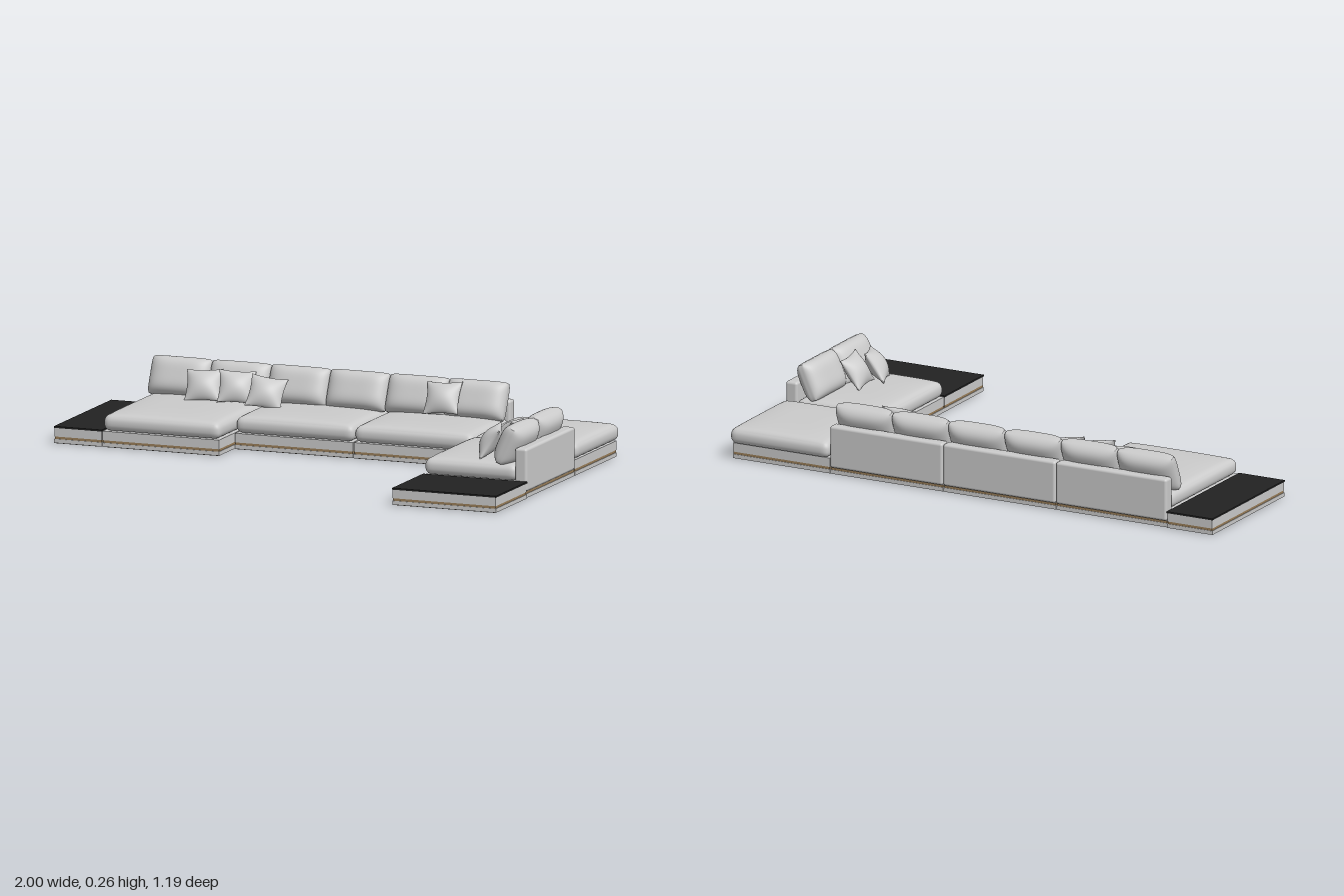
import * as THREE from 'three';
import { mergeVertices } from 'three/addons/utils/BufferGeometryUtils.js';
import { RoundedBoxGeometry } from 'three/addons/geometries/RoundedBoxGeometry.js';

const fabric = new THREE.MeshStandardMaterial({ color: 0xcccccc });
const black = new THREE.MeshStandardMaterial({ color: 0x222222 });
const brass = new THREE.MeshStandardMaterial({ color: 0x9a7f5a });
const brown = new THREE.MeshStandardMaterial({ color: 0x6b5c45 });

// Moves every vertex of a finely divided 2x2x2 box by a rule and smooths the result
function shapeBox(nx, ny, nz, rule) {
  let geo = new THREE.BoxGeometry(2, 2, 2, nx, ny, nz);
  geo.deleteAttribute('uv');
  geo.deleteAttribute('normal');
  geo = mergeVertices(geo);
  const p = geo.attributes.position;
  const v = new THREE.Vector3();
  for (let i = 0; i < p.count; i++) {
    rule(v.fromBufferAttribute(p, i));
    p.setXYZ(i, v.x, v.y, v.z);
  }
  geo.computeVertexNormals();
  return geo;
}

// Flat seat pad: rounded rim with a gentle crown
function seatGeometry(w, h, d, r = 0.026, crown = 0.012) {
  const half = new THREE.Vector3(w / 2, h / 2, d / 2);
  const inner = half.clone().subScalar(r);
  const core = new THREE.Vector3();
  const ease = (t) => Math.sin(t * Math.PI / 2);
  return shapeBox(28, 8, 28, (v) => {
    v.set(ease(v.x), v.y, ease(v.z));
    const dome = (1 - v.x ** 4) * (1 - v.z ** 4);
    const up = v.y;
    v.multiply(half);
    core.copy(v).clamp(inner.clone().negate(), inner);
    v.sub(core).setLength(r).add(core);
    if (up > 0) v.y += crown * dome * up;
  });
}

// Stuffed cushion: thick belly, thin seam, corners drawn out by the pinch
function cushionGeometry(w, h, t, { pinch = 0, seam = 0.1, power = 2, fullness = 0.5, round = 0 }) {
  return shapeBox(24, 24, 4, (v) => {
    const u = Math.sin(v.x * Math.PI / 2), s = Math.sin(v.y * Math.PI / 2);
    const belly = Math.pow(Math.max(0, (1 - Math.abs(u) ** power) * (1 - Math.abs(s) ** power)), fullness);
    const x = u * (1 - pinch * (1 - s * s)) * (1 - round * s ** 8);
    const y = s * (1 - pinch * (1 - u * u)) * (1 - round * u ** 8);
    v.set(x * w / 2, y * h / 2, v.z * (seam + (1 - seam) * belly) * t / 2);
  });
}

function add(parent, name, geo, mat, x = 0, y = 0, z = 0) {
  const mesh = new THREE.Mesh(geo, mat);
  mesh.name = name;
  mesh.position.set(x, y, z);
  parent.add(mesh);
  return mesh;
}

// Box given by its limits; a radius rounds the edges
function block(parent, name, mat, [x0, x1], [y0, y1], [z0, z1], r = 0) {
  const size = [x1 - x0, y1 - y0, z1 - z0];
  const geo = r ? new RoundedBoxGeometry(...size, 4, r) : new THREE.BoxGeometry(...size);
  return add(parent, name, geo, mat, (x0 + x1) / 2, (y0 + y1) / 2, (z0 + z1) / 2);
}

const inset = ([a, b], d) => [a + d, b - d];

// Layered platform: bottom panel, plinth, recessed metal strip, upper frame
function platform(parent, x, z) {
  const base = new THREE.Group();
  base.name = 'platform';
  block(base, 'bottomPanel', brown, inset(x, 0.008), [0, 0.003], inset(z, 0.008));
  block(base, 'plinth', fabric, inset(x, 0.001), [0.002, 0.017], inset(z, 0.001));
  block(base, 'metalStrip', brass, inset(x, 0.003), [0.017, 0.026], inset(z, 0.003));
  block(base, 'upperFrame', fabric, inset(x, 0.002), [0.026, 0.06], inset(z, 0.002));
  parent.add(base);
}

function seat(parent, [x0, x1], [z0, z1]) {
  add(parent, 'seatCushion', seatGeometry(x1 - x0, 0.06, z1 - z0), fabric, (x0 + x1) / 2, 0.09, (z0 + z1) / 2);
}

// Yaw turns a cushion on the spot, lean tips its top back, roll tilts it sideways (degrees)
function place(mesh, yaw, lean, roll = 0) {
  const rad = THREE.MathUtils.degToRad;
  mesh.rotation.set(-rad(lean), rad(yaw), rad(roll), 'YXZ');
}

export function createModel() {
  const sofa = new THREE.Group();
  sofa.name = 'sectionalSofa';

  // Low tables at both ends
  for (const [x, z] of [[[-1, -0.81], [-0.58, -0.03]], [[0.59, 1], [0.296, 0.595]]]) {
    const table = new THREE.Group();
    table.name = 'endTable';
    platform(table, x, z);
    block(table, 'tableTop', black, x, [0.058, 0.064], z);
    sofa.add(table);
  }

  // Back row: chaise and two seats, each with its own backrest
  for (const [x, front] of [[[-0.81, -0.348], -0.03], [[-0.348, 0.12], -0.175], [[0.12, 0.59], -0.175]]) {
    const unit = new THREE.Group();
    unit.name = front > -0.1 ? 'chaise' : 'middleSeat';
    platform(unit, x, [-0.575, front]);
    seat(unit, inset(x, 0.001), [-0.54, front]);
    block(unit, 'backrest', fabric, inset(x, 0.001), [0.026, 0.185], [-0.582, -0.535], 0.01);
    sofa.add(unit);
  }

  // Open corner seat
  const corner = new THREE.Group();
  corner.name = 'cornerSeat';
  platform(corner, [0.59, 0.995], [-0.575, -0.172]);
  seat(corner, [0.59, 1], [-0.595, -0.174]);
  sofa.add(corner);

  // Side seat facing inwards
  const side = new THREE.Group();
  side.name = 'sideSeat';
  platform(side, [0.59, 0.995], [-0.172, 0.296]);
  seat(side, [0.59, 0.955], [-0.171, 0.295]);
  block(side, 'backrest', fabric, [0.95, 0.998], [0.026, 0.185], [-0.168, 0.297], 0.01);
  sofa.add(side);

  // Back cushions
  const backGeo = cushionGeometry(0.233, 0.145, 0.096, { seam: 0.18, power: 4, fullness: 0.6, round: 0.04 });
  for (let i = 0; i < 6; i++) {
    place(add(sofa, 'backCushion', backGeo, fabric, -0.692 + i * 0.2335, 0.187, -0.497), 0, 24);
  }
  for (const z of [0.181, -0.048]) {
    place(add(sofa, 'backCushion', backGeo, fabric, 0.912, 0.187, z), -90, 24);
  }

  // Throw pillows: x, y, z, yaw, lean, roll
  const throwGeo = cushionGeometry(0.136, 0.13, 0.07, { pinch: 0.1, seam: 0.05, power: 2, fullness: 0.7 });
  for (const [x, y, z, yaw, lean, roll] of [
    [-0.563, 0.182, -0.402, 8, 36, 3],
    [-0.432, 0.186, -0.4, 22, 32, -4],
    [-0.308, 0.177, -0.383, 18, 36, -10],
    [0.367, 0.198, -0.432, 2, 33, 3],
    [0.83, 0.187, 0.07, -88, 34, 4],
    [0.808, 0.182, 0.182, -68, 34, -5],
  ]) {
    place(add(sofa, 'throwPillow', throwGeo, fabric, x, y, z), yaw, lean, roll);
  }
  return sofa;
}
